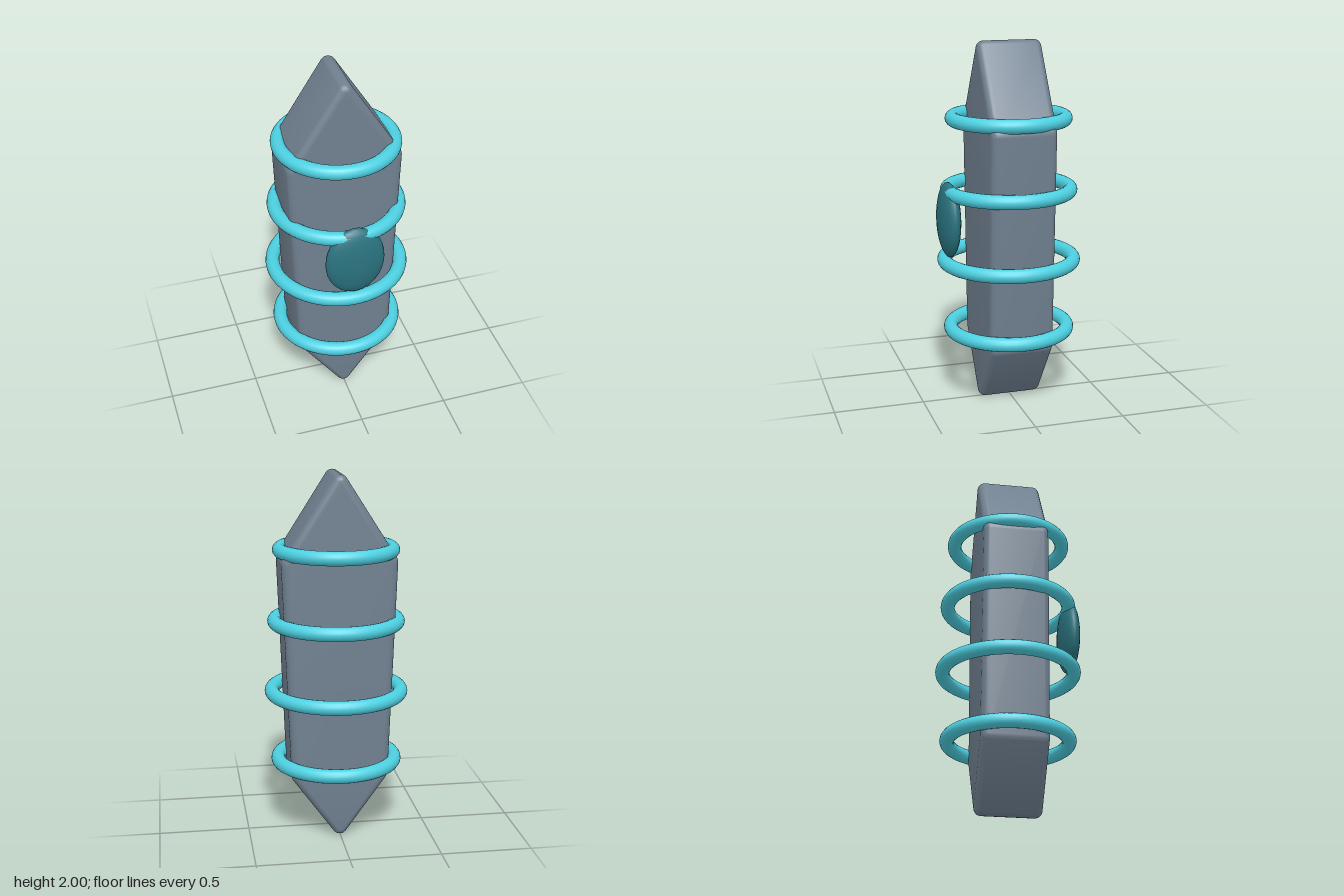
import * as THREE from 'three';
import { toCreasedNormals } from 'three/addons/utils/BufferGeometryUtils.js';

const BEVEL = 0.04;

// Closed outline whose corners are slightly rounded, so the bevel swells them into arcs
function roundedOutline(points, r) {
  const shape = new THREE.Shape();
  const n = points.length;
  points.forEach((p, i) => {
    const prev = points[(i + n - 1) % n], next = points[(i + 1) % n];
    const a = prev.clone().sub(p).setLength(r).add(p);
    const b = next.clone().sub(p).setLength(r).add(p);
    if (i === 0) shape.moveTo(a.x, a.y);
    else shape.lineTo(a.x, a.y);
    shape.quadraticCurveTo(p.x, p.y, b.x, b.y);
  });
  return shape;
}

export function createModel() {
  const model = new THREE.Group();
  model.name = 'bandedCrystal';
  const stone = new THREE.MeshStandardMaterial({ color: 0x708090 });
  const cyan = new THREE.MeshStandardMaterial({ color: 0x4dd0e1 });
  const teal = new THREE.MeshStandardMaterial({ color: 0x2a737f });

  // Six-sided slab, pointed at both ends, with soft edges
  const outline = [[0, 0.037], [0.228, 0.352], [0.273, 1.535], [0, 1.963], [-0.273, 1.535], [-0.228, 0.352]]
    .map(([x, y]) => new THREE.Vector2(x, y));
  const slab = new THREE.ExtrudeGeometry(roundedOutline(outline, 0.005), {
    depth: 0.28, bevelEnabled: true, bevelSize: BEVEL, bevelThickness: BEVEL,
    bevelSegments: 8, curveSegments: 8,
  });
  slab.translate(0, 0, -0.14);
  const body = new THREE.Mesh(toCreasedNormals(slab, 0.6), stone);
  body.name = 'body';
  model.add(body);

  // Horizontal rings around the body: height, outer radius
  const tube = 0.039;
  [[0.406, 0.364], [0.8, 0.396], [1.195, 0.376], [1.587, 0.345]].forEach(([y, outer], i) => {
    const ring = new THREE.Mesh(new THREE.TorusGeometry(outer - tube, tube, 16, 64), cyan);
    ring.name = 'ring' + (i + 1);
    ring.rotation.x = Math.PI / 2;
    ring.position.y = y;
    model.add(ring);
  });

  // Flattened oval gem on the front
  const gem = new THREE.Mesh(new THREE.SphereGeometry(1, 24, 16), teal);
  gem.name = 'gem';
  gem.scale.set(0.163, 0.207, 0.058);
  gem.position.set(0, 1.043, 0.34);
  model.add(gem);

  return model;
}
